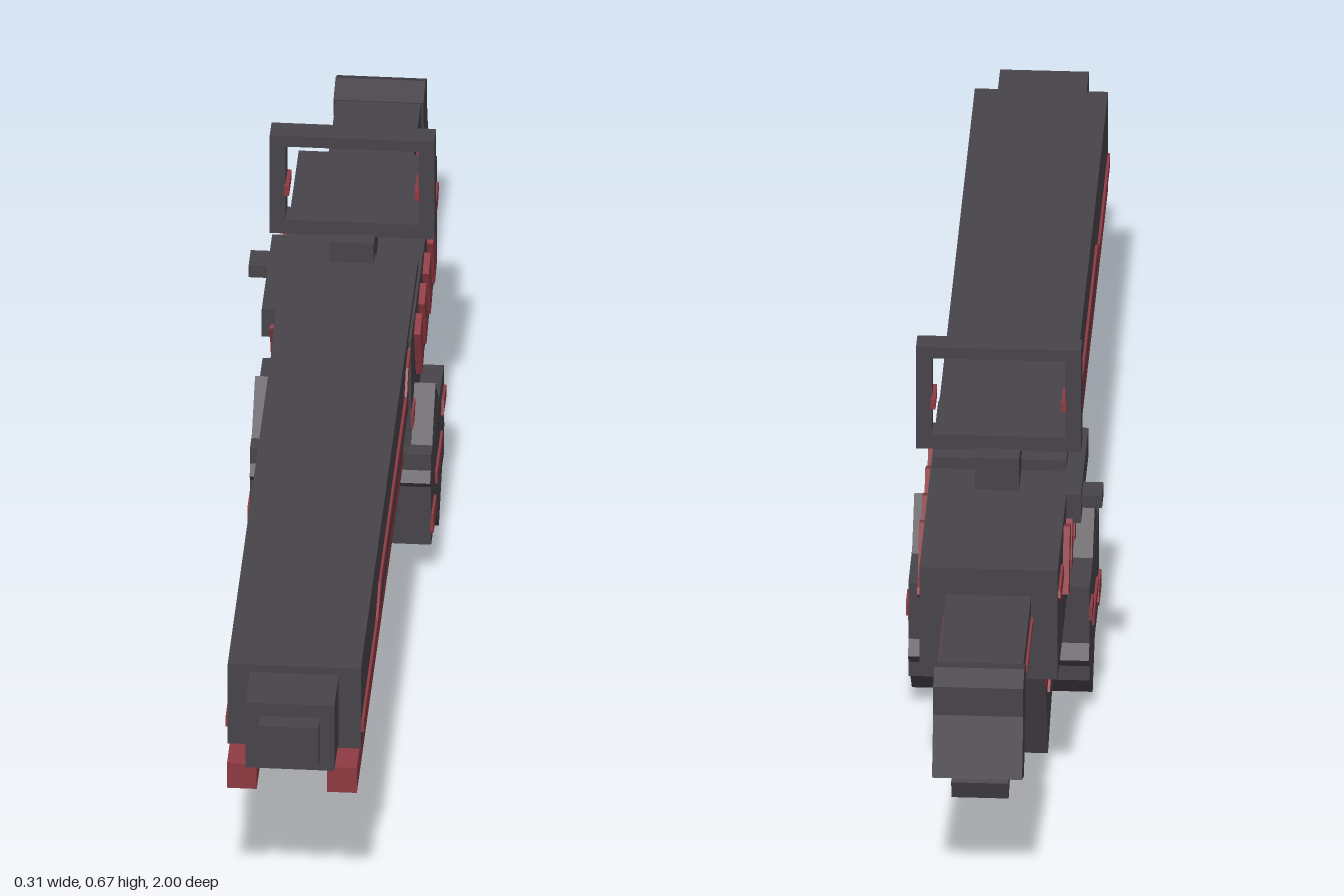
import * as THREE from 'three';

export function createModel() {
  const model = new THREE.Group();
  model.name = 'sciFiRifle';
  const body = new THREE.Group();
  body.name = 'rifleBody';
  body.position.x = 0.009;
  model.add(body);

  const gunmetal = new THREE.MeshStandardMaterial({ color: 0x48444a });
  gunmetal.name = 'gunmetal';
  const red = new THREE.MeshStandardMaterial({ color: 0x8e3a42 });
  red.name = 'accentRed';

  const add = (name, geometry, material) => {
    const mesh = new THREE.Mesh(geometry, material);
    mesh.name = name;
    body.add(mesh);
    return mesh;
  };

  // Box given by its limits along each axis
  const box = (name, [x0, x1], [y0, y1], [z0, z1], material = gunmetal) => {
    const g = new THREE.BoxGeometry(x1 - x0, y1 - y0, z1 - z0);
    g.translate((x0 + x1) / 2, (y0 + y1) / 2, (z0 + z1) / 2);
    return add(name, g, material);
  };

  // Side outline of [z, y] points, extruded across x
  const profile = (name, points, x0, x1, material = gunmetal) => {
    const shape = new THREE.Shape(points.map(([z, y]) => new THREE.Vector2(z, y)));
    const g = new THREE.ExtrudeGeometry(shape, { depth: x1 - x0, bevelEnabled: false });
    g.rotateY(-Math.PI / 2);
    g.translate(x1, 0, 0);
    return add(name, g, material);
  };

  // Thin plate repeated on both flanks
  const plates = (name, points, surface, thick = 0.004) => {
    profile(name + 'Left', points, surface - 0.002, surface + thick, red);
    profile(name + 'Right', points, -surface - thick, -surface + 0.002, red);
  };
  const bar = (z0, z1, y, h = 0.02) => [
    [z0, y - h / 2], [z1, y - h / 2], [z1, y + h / 2], [z0, y + h / 2]];

  // Barrel and stepped muzzle
  box('barrel', [-0.105, 0.105], [0.305, 0.454], [-0.334, 0.88]);
  box('muzzleCollar', [-0.07, 0.07], [0.319, 0.44], [0.86, 0.97]);
  box('muzzleTip', [-0.047, 0.047], [0.342, 0.416], [0.95, 1]);

  // Twin lower rails and the block between them
  for (const s of [-1, 1]) {
    const x = s * 0.079;
    box('lowerRail', [x - 0.0235, x + 0.0235], [0.254, 0.3], [-0.05, 0.93], red);
  }
  box('foreGrip', [-0.047, 0.047], [0.215, 0.277], [0.1, 0.366]);
  plates('foreGripStripe', bar(0.17, 0.32, 0.243, 0.012), 0.047);

  // Receiver
  box('receiver', [-0.109, 0.109], [0.239, 0.434], [-0.66, -0.115]);

  // Drum magazine: a block crossed by a tilted square
  box('magazineBlock', [-0.143, 0.143], [0.072, 0.239], [-0.355, -0.09]);
  profile('magazineDrum',
    [[-0.075, 0.195], [-0.19, 0.31], [-0.375, 0.118], [-0.26, 0]], -0.1425, 0.1425);
  plates('magazineStripeMiddle', bar(-0.29, -0.17, 0.147, 0.022), 0.143);
  plates('magazineStripeFront',
    [[-0.09, 0.095], [-0.15, 0.095], [-0.16, 0.107], [-0.15, 0.128], [-0.09, 0.128]], 0.143);
  plates('magazineStripeRear',
    [[-0.3, 0.18], [-0.355, 0.18], [-0.355, 0.203], [-0.31, 0.203]], 0.143);

  // Pistol grip with patches
  profile('pistolGrip',
    [[-0.415, 0.28], [-0.361, 0.073], [-0.5, 0.019], [-0.605, 0.28]].map(
      ([z, y], i) => i === 0 ? [-0.452, y] : [z, y]), -0.085, 0.085);
  plates('gripPatchMiddle',
    [[-0.44, 0.145], [-0.46, 0.168], [-0.5, 0.155], [-0.512, 0.135], [-0.48, 0.122], [-0.455, 0.13]], 0.085);
  plates('gripPatchFront',
    [[-0.385, 0.115], [-0.41, 0.132], [-0.42, 0.108], [-0.4, 0.095], [-0.378, 0.09]], 0.085);
  plates('gripPatchRear', [[-0.535, 0.195], [-0.55, 0.215], [-0.592, 0.21], [-0.575, 0.18]], 0.085);

  // Slanted vent slats on both flanks
  for (let i = 0; i < 4; i++) {
    for (const s of [-1, 1]) {
      const slat = add('ventSlat', new THREE.BoxGeometry(0.014, 0.108, 0.041), red);
      slat.position.set(s * 0.112, 0.362, -0.222 - i * 0.089);
      slat.rotation.x = 0.39;
    }
  }

  // Painted flank lines
  plates('barrelStripe', [
    [0.87, 0.33], [0.56, 0.33], [0.5, 0.361], [-0.04, 0.361], [-0.075, 0.4], [-0.11, 0.4],
    [-0.11, 0.426], [-0.065, 0.416], [-0.035, 0.381], [0.51, 0.381], [0.57, 0.35], [0.87, 0.35]], 0.105);
  plates('receiverFrontStripe',
    [[-0.115, 0.272], [-0.14, 0.272], [-0.165, 0.297], [-0.115, 0.297]], 0.109);
  plates('receiverRearStripe',
    [[-0.54, 0.362], [-0.63, 0.362], [-0.655, 0.382], [-0.65, 0.392], [-0.56, 0.392]], 0.109);

  // Charging handle on one flank
  box('handleSlide', [-0.132, -0.1], [0.384, 0.435], [-0.41, -0.19]);
  box('handleKnob', [-0.164, -0.13], [0.398, 0.42], [-0.385, -0.34]);

  // Open sight frame on a mount
  box('sightMount', [-0.034, 0.036], [0.42, 0.491], [-0.4, -0.307]);
  const frame = new THREE.Shape();
  frame.moveTo(-0.13, 0.488).lineTo(0.13, 0.488).lineTo(0.13, 0.67).lineTo(-0.13, 0.67).closePath();
  const opening = new THREE.Path();
  opening.moveTo(-0.105, 0.514).lineTo(-0.105, 0.65).lineTo(0.105, 0.65).lineTo(0.105, 0.514).closePath();
  frame.holes.push(opening);
  const frameGeometry = new THREE.ExtrudeGeometry(frame, { depth: 0.038, bevelEnabled: false });
  frameGeometry.translate(0, 0, -0.369);
  add('sightFrame', frameGeometry, gunmetal);
  for (const s of [-1, 1]) {
    const nub = add('sightNub', new THREE.BoxGeometry(0.008, 0.018, 0.05), red);
    nub.position.set(s * 0.103, 0.571, -0.35);
  }

  // Stock, hooked butt and lower strut
  box('stock', [-0.067, 0.067], [0.32, 0.386], [-0.93, -0.65]);
  plates('stockStripe', bar(-0.83, -0.67, 0.349, 0.012), 0.067);
  profile('stockButt', [
    [-0.885, 0.388], [-0.928, 0.402], [-0.962, 0.385], [-0.962, 0.335],
    [-0.995, 0.24], [-0.939, 0.217], [-0.895, 0.32]], -0.071, 0.071);
  profile('stockStrut',
    [[-0.64, 0.3], [-0.917, 0.19], [-0.905, 0.157], [-0.64, 0.268]], -0.045, 0.045);

  return model;
}
